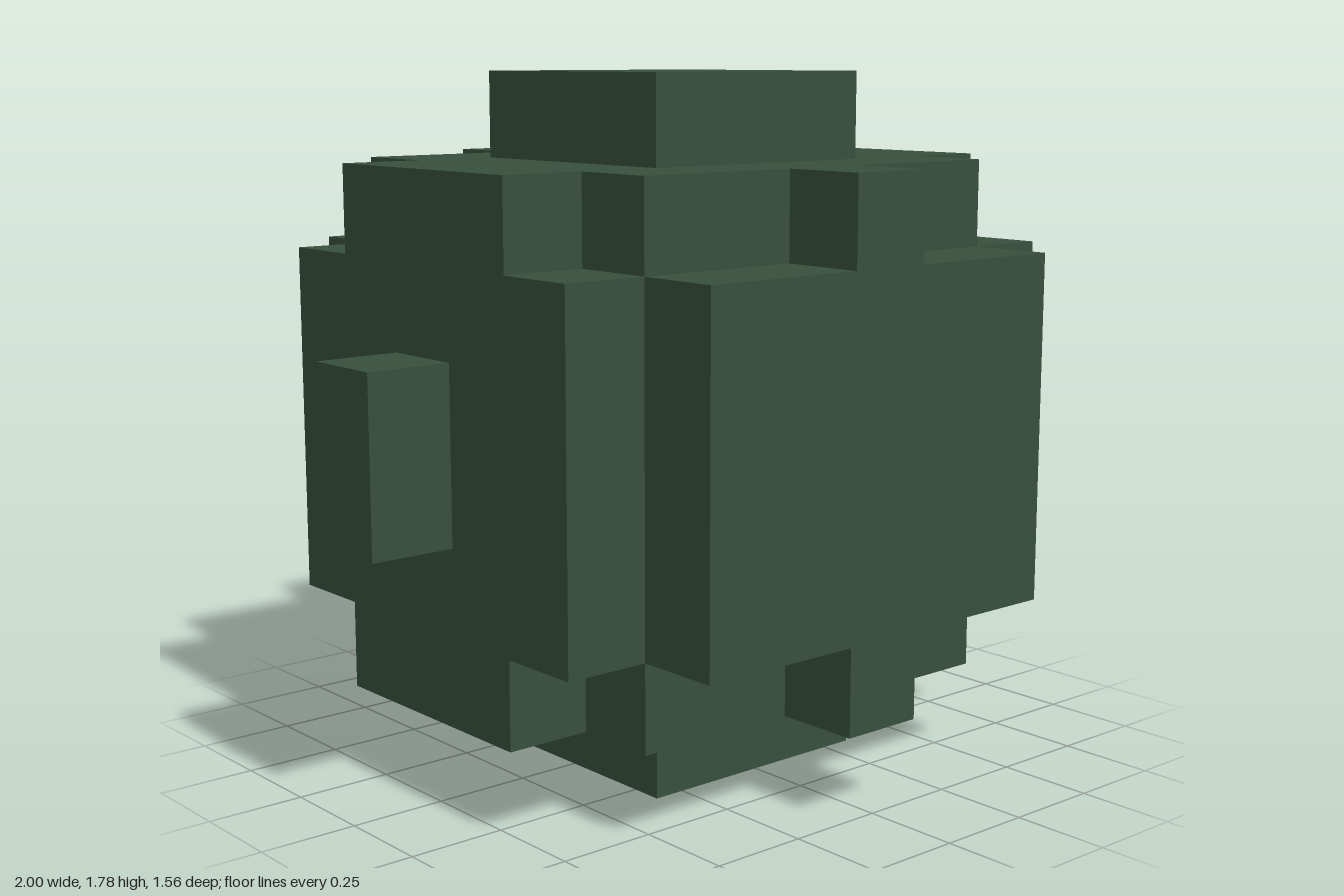
import * as THREE from 'three';

const U = 2 / 9; // size of one block

// Full stepped outline from the corners of its +x +z quarter, listed from the z side to the x side
function outline(quarter) {
  const back = [...quarter].reverse();
  const points = [
    ...back,
    ...quarter.map(([x, z]) => [-x, z]),
    ...back.map(([x, z]) => [-x, -z]),
    ...quarter.map(([x, z]) => [x, -z]),
  ];
  return new THREE.Shape(points.map(([x, z]) => new THREE.Vector2(x * U, z * U)));
}

export function createModel() {
  const model = new THREE.Group();
  model.name = 'blockyBall';
  const darkGreen = new THREE.MeshStandardMaterial({ color: 0x37503d });
  darkGreen.name = 'darkGreen';

  function add(name, geometry, x, y, z) {
    const mesh = new THREE.Mesh(geometry, darkGreen);
    mesh.name = name;
    mesh.position.set(x * U, y * U, z * U);
    model.add(mesh);
  }

  // Horizontal slab between two heights
  function addLayer(name, quarter, y0, y1) {
    const geometry = new THREE.ExtrudeGeometry(outline(quarter), { depth: (y1 - y0) * U, bevelEnabled: false });
    geometry.rotateX(-Math.PI / 2);
    add(name, geometry, 0, y0, 0);
  }

  // Body: wide middle with notched layers above and below
  const wide = [[2.5, 3.5], [2.5, 2.5], [3.5, 2.5]];
  const notched = [[0.5, 3.5], [0.5, 2.5], [2.5, 2.5], [2.5, 1.5], [3.5, 1.5]];
  addLayer('lowerBody', notched, 1, 2);
  addLayer('middleBody', wide, 2, 6);
  addLayer('upperBody', notched, 6, 7);

  // Square foot and top cap
  const square = () => new THREE.BoxGeometry(3 * U, U, 3 * U);
  add('foot', square(), 0, 0.5, 0);
  add('topCap', square(), 0, 7.5, 0);

  // Side knobs
  for (const [name, side] of [['leftKnob', 1], ['rightKnob', -1]]) {
    add(name, new THREE.BoxGeometry(U, 2 * U, U), side * 4, 4, 0);
  }
  return model;
}
